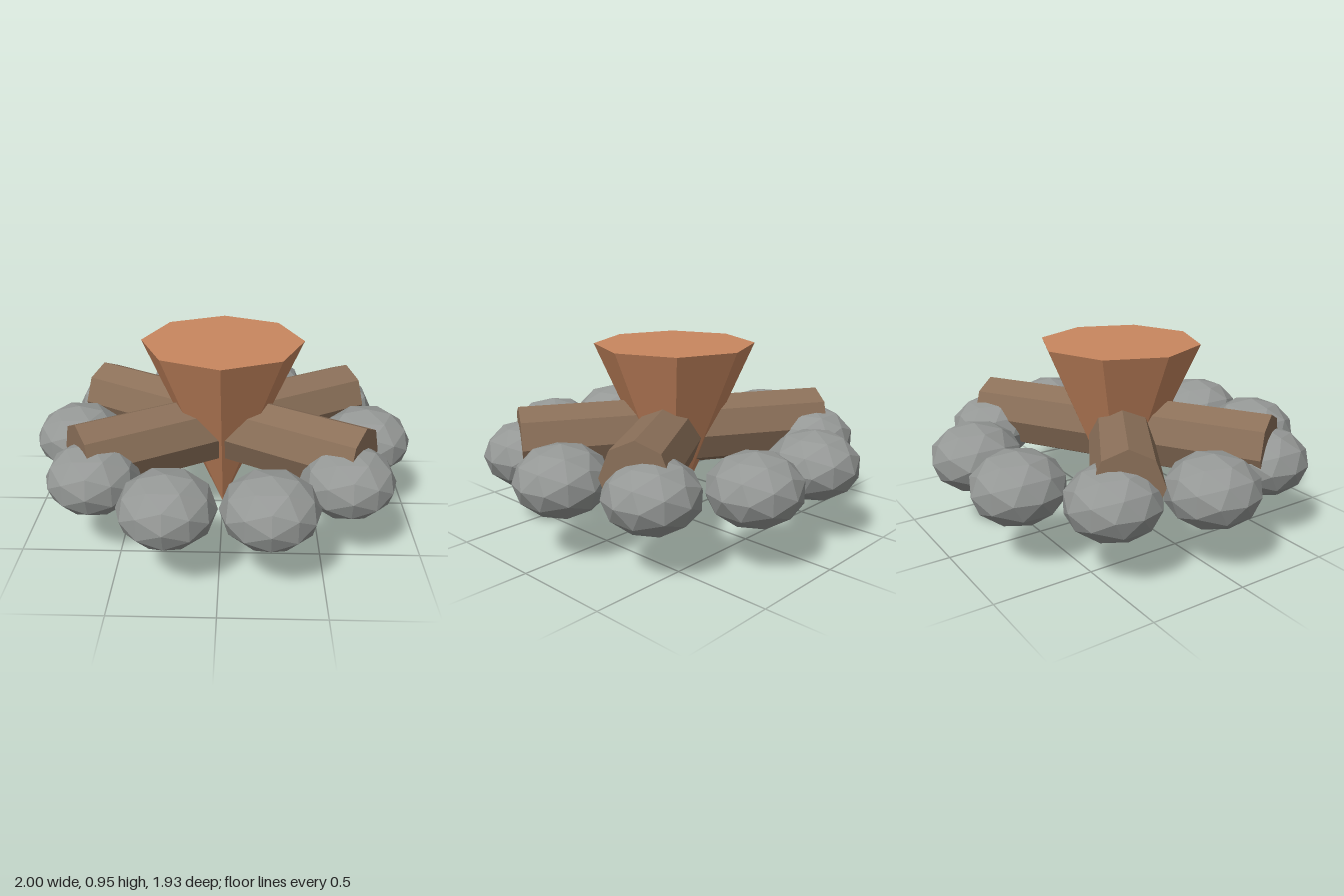
import * as THREE from 'three';

const material = (color) => new THREE.MeshStandardMaterial({ color, flatShading: true });

function part(name, geometry, mat) {
  const mesh = new THREE.Mesh(geometry, mat);
  mesh.name = name;
  return mesh;
}

export function createModel() {
  const model = new THREE.Group();
  model.name = 'campfire';
  const stoneMat = material(0x959896);
  const logMat = material(0x8b7059);
  const flameMat = material(0xc8875f);

  // Ring of ten flattened faceted stones
  const ring = new THREE.Group();
  ring.name = 'stoneRing';
  const stoneGeo = new THREE.IcosahedronGeometry(0.235, 1);
  stoneGeo.scale(1, 0.75, 1);
  for (let i = 0; i < 10; i++) {
    const a = (i / 10) * Math.PI * 2;
    const stone = part('stone', stoneGeo, stoneMat);
    stone.position.set(Math.cos(a) * 0.765, 0.398, Math.sin(a) * 0.765);
    ring.add(stone);
  }
  model.add(ring);

  // Two crossed eight-sided logs, slightly taller than wide
  const logGeo = new THREE.CylinderGeometry(0.167, 0.167, 1.628, 8);
  logGeo.rotateZ(Math.PI / 2);
  logGeo.scale(1, 1.1, 1);
  for (const side of [-1, 1]) {
    const log = part('log', logGeo, logMat);
    log.position.y = 0.479;
    log.rotation.y = side * THREE.MathUtils.degToRad(31.2);
    model.add(log);
  }

  // Flame: octagonal cone standing on its tip
  const flameGeo = new THREE.ConeGeometry(0.418, 0.95, 8);
  flameGeo.rotateX(Math.PI);
  const flame = part('flame', flameGeo, flameMat);
  flame.position.y = 0.475;
  model.add(flame);

  return model;
}
